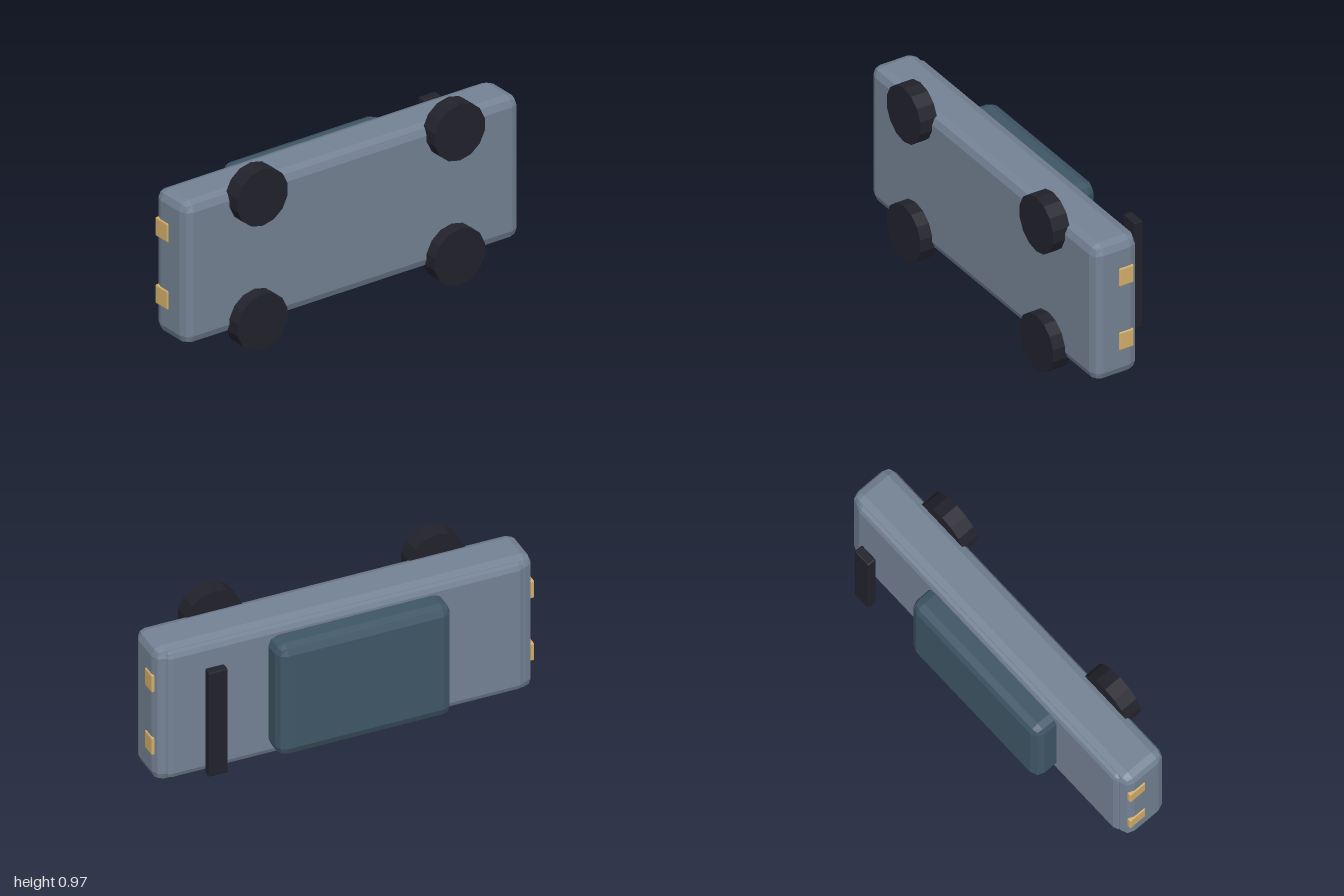
import * as THREE from 'three';
import { RoundedBoxGeometry } from 'three/addons/geometries/RoundedBoxGeometry.js';

function material(name, color) {
  const m = new THREE.MeshStandardMaterial({ color, flatShading: true });
  m.name = name;
  return m;
}

export function createModel() {
  const car = new THREE.Group();
  car.name = 'car';
  const paint = material('slate paint', 0x748294);
  const glass = material('dark teal glass', 0x3f5666);
  const rubber = material('black rubber', 0x22222c);
  const amber = material('amber lamp', 0xd2ae6a);

  // Bevelled box given by its limits on each axis
  function block(name, mat, [x0, x1], [y0, y1], [z0, z1], bevel) {
    const geo = new RoundedBoxGeometry(x1 - x0, y1 - y0, z1 - z0, 1, bevel);
    const mesh = new THREE.Mesh(geo, mat);
    mesh.name = name;
    mesh.position.set((x0 + x1) / 2, (y0 + y1) / 2, (z0 + z1) / 2);
    car.add(mesh);
  }

  // The car lies on its side: its roof faces -z, its wheels +z
  block('body', paint, [-0.993, 0.993], [0.105, 0.866], [-0.08, 0.172], 0.05);
  block('deck', paint, [-0.945, 0.945], [0.12, 0.85], [-0.095, 0.05], 0.035);
  block('cabin', glass, [-0.505, 0.41], [0.17, 0.802], [-0.22, -0.03], 0.05);
  block('spoiler', rubber, [0.685, 0.785], [0.187, 0.785], [-0.236, -0.188], 0.006);

  // Lamps at both ends
  for (const y of [0.305, 0.665]) {
    block('rearLamp', amber, [0.96, 1], [y - 0.05, y + 0.05], [-0.047, 0.035], 0.006);
    block('headLamp', amber, [-1, -0.96], [y - 0.05, y + 0.05], [-0.064, 0.035], 0.006);
  }

  // Wheels
  const wheelGeo = new THREE.CylinderGeometry(0.151, 0.151, 0.095, 14).rotateX(Math.PI / 2);
  for (const x of [-0.586, 0.583]) {
    for (const y of [0.152, 0.818]) {
      const wheel = new THREE.Mesh(wheelGeo, rubber);
      wheel.name = 'wheel';
      wheel.position.set(x, y, 0.192);
      car.add(wheel);
    }
  }
  return car;
}
